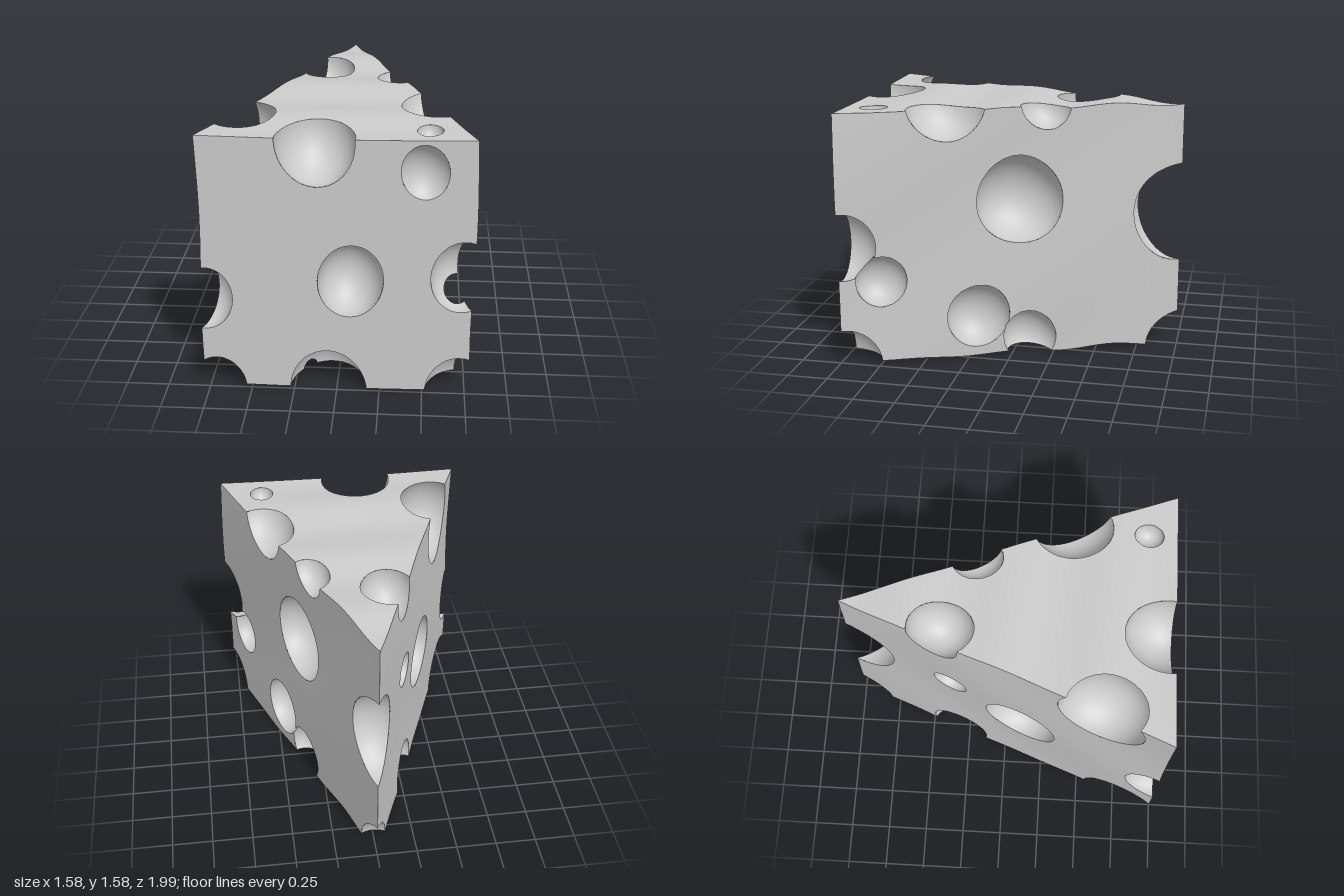
import * as THREE from 'three';
import { mergeVertices } from 'three/addons/utils/BufferGeometryUtils.js';

const BOTTOM = 0.022, TOP = 1.575, FRONT = 0.985, HALF = 0.78, TIP = -1;
const SQUASH = 0.84; // bubbles are narrower across x

// Bubbles: x, y, z, radius
const HOLES = [
  // front face
  [0.08, 0.72, 0.98, 0.225], [-0.115, 1.56, 0.95, 0.268], [-0.05, 0.0, 0.965, 0.268],
  [0.49, 1.39, 1.105, 0.2],
  // front vertical edges and lower corners
  [0.72, 0.755, 0.99, 0.22], [0.72, -0.01, 0.99, 0.245],
  [-0.76, 0.58, 0.97, 0.195], [-0.7, 0.0, 0.8, 0.27],
  // right side
  [0.68, 0.53, 0.75, 0.16], [0.468, 0.28, 0.19, 0.2], [0.35, 0.12, -0.11, 0.17],
  [0.373, 1.005, -0.05, 0.275], [0.54, 1.64, 0.36, 0.25], [0.31, 1.6, -0.2, 0.157],
  // tip
  [0, 0.895, -1.0, 0.31], [0, 0.0, -1.03, 0.24],
  // left side
  [-0.58, 1.42, 0.59, 0.285], [-0.14, 1.55, -0.39, 0.2], [-0.255, 0.935, -0.35, 0.115],
  [-0.43, 0.72, 0.1, 0.245], [-0.27, 0.08, -0.31, 0.2],
  // top and bottom
  [0.515, 1.575, 0.815, 0.088], [-0.24, 0.02, 0.66, 0.13],
];

// Positive outside a bubble
const outside = ([x, y, z, r]) => (p) =>
  ((p.x - x) / (r * SQUASH)) ** 2 + ((p.y - y) / r) ** 2 + ((p.z - z) / r) ** 2 - 1;

// Positive inside each plane of the wedge
const slope = HALF / (FRONT - TIP);
const WEDGE = [
  (p) => FRONT - p.z,
  (p) => TOP - p.y,
  (p) => p.y - BOTTOM,
  (p) => slope * (p.z - TIP) - p.x,
  (p) => slope * (p.z - TIP) + p.x,
];

// Point where f changes sign between a kept and a dropped corner
function crossing(keep, drop, f) {
  const a = keep.clone(), b = drop.clone(), m = new THREE.Vector3();
  for (let i = 0; i < 14; i++) {
    m.lerpVectors(a, b, 0.5);
    (f(m) >= 0 ? a : b).copy(m);
  }
  return a;
}

// Keep only the part of every triangle where f >= 0
function clip(triangles, f) {
  const out = [];
  for (const tri of triangles) {
    const inside = tri.map((p) => f(p) >= 0);
    if (inside.every(Boolean)) { out.push(tri); continue; }
    if (!inside.some(Boolean)) continue;
    const poly = [];
    for (let i = 0; i < 3; i++) {
      const j = (i + 1) % 3;
      if (inside[i]) poly.push(tri[i]);
      if (inside[i] !== inside[j]) {
        poly.push(inside[i] ? crossing(tri[i], tri[j], f) : crossing(tri[j], tri[i], f));
      }
    }
    for (let i = 2; i < poly.length; i++) out.push([poly[0], poly[i - 1], poly[i]]);
  }
  return out;
}

// Grid of triangles over four corners, counter-clockwise from outside
function patch(a, b, c, d, n = 40) {
  const at = (i, j) => a.clone().lerp(b, i / n).lerp(d.clone().lerp(c, i / n), j / n);
  const out = [];
  for (let i = 0; i < n; i++) for (let j = 0; j < n; j++) {
    const p = at(i, j), q = at(i + 1, j), r = at(i + 1, j + 1), s = at(i, j + 1);
    out.push([p, q, r]);
    if (r.distanceTo(s) > 1e-6) out.push([p, r, s]);
  }
  return out;
}

// Inward-facing bubble wall
function bubble([x, y, z, r]) {
  const pos = new THREE.IcosahedronGeometry(r, 11).getAttribute('position');
  const point = (i) => new THREE.Vector3(
    x + pos.getX(i) * SQUASH, y + pos.getY(i), z + pos.getZ(i));
  const out = [];
  for (let i = 0; i < pos.count; i += 3) out.push([point(i), point(i + 2), point(i + 1)]);
  return out;
}

// Gentle unevenness shared by all surfaces
function wobble(p) {
  const wide = Math.min(1, (p.z - TIP) / 0.6);
  return [
    p.x + 0.008 * wide * Math.sin(4.5 * p.y + 3 * p.z),
    p.y + 0.013 * Math.cos((p.z - 0.6) * 10.5) * Math.cos(2.2 * p.x),
    p.z,
  ];
}

export function createModel() {
  const group = new THREE.Group();
  group.name = 'cheeseWedge';
  const material = new THREE.MeshStandardMaterial({ color: 0xcccccc, roughness: 0.8 });

  const add = (name, triangles) => {
    if (!triangles.length) return;
    let geometry = new THREE.BufferGeometry();
    geometry.setAttribute('position',
      new THREE.Float32BufferAttribute(triangles.flat().flatMap(wobble), 3));
    geometry = mergeVertices(geometry, 1e-4);
    geometry.computeVertexNormals();
    const mesh = new THREE.Mesh(geometry, material);
    mesh.name = name;
    group.add(mesh);
  };

  // Outer faces with the bubbles cut away
  const corner = (x, z) => [BOTTOM, TOP].map((y) => new THREE.Vector3(x, y, z));
  const [l0, l1] = corner(-HALF, FRONT);
  const [r0, r1] = corner(HALF, FRONT);
  const [t0, t1] = corner(0, TIP);
  const faces = {
    frontFace: [l0, r0, r1, l1],
    rightFace: [r0, t0, t1, r1],
    leftFace: [t0, l0, l1, t1],
    topFace: [l1, r1, t1, t1],
    bottomFace: [r0, l0, t0, t0],
  };
  for (const [name, c] of Object.entries(faces)) {
    add(name, HOLES.map(outside).reduce(clip2, patch(...c)));
  }

  // Bubble walls inside the wedge, open where they meet each other
  HOLES.forEach((hole, i) => {
    const others = HOLES.filter((h) => h !== hole).map(outside);
    add(`hole${i + 1}`, [...WEDGE, ...others].reduce(clip2, bubble(hole)));
  });
  return group;
}

// Reducer form of clip
function clip2(triangles, f) {
  return clip(triangles, f);
}
